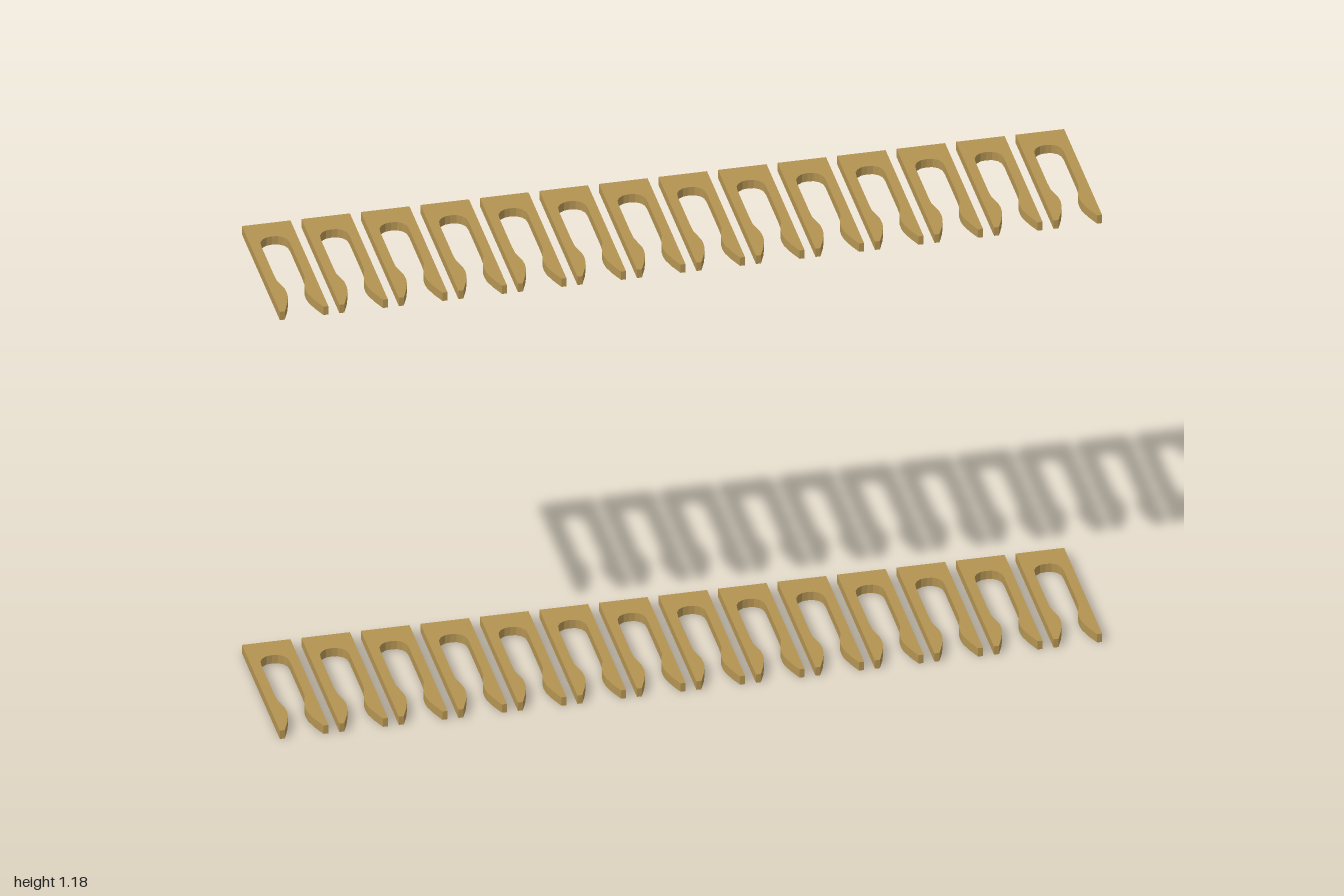
import * as THREE from 'three';

const COUNT = 14, WIDTH = 0.118, DEPTH = 0.404, THICK = 0.023, TOP = 1.183;

// Flat two-pronged clip: back bar at -z, prongs pointing to +z
function clipGeometry() {
  const w = WIDTH / 2, d = DEPTH / 2;
  // inner edge of one prong, from the tip back to the arched slot end: [x, z]
  const inner = [[0.047, d], [0.034, 0.17], [0.025, 0.14], [0.023, 0.12], [0.024, 0.1],
    [0.029, 0.08], [0.034, 0.06], [0.035, 0.03], [0.035, -0.1],
    [0.033, -0.118], [0.026, -0.13], [0.014, -0.138], [0, -0.14]];
  const mirrored = inner.slice(0, -1).reverse().map(([x, z]) => [-x, z]);
  const outline = [[-w, d], [-w, -d], [w, -d], [w, d], ...inner, ...mirrored];
  const shape = new THREE.Shape(outline.map(([x, z]) => new THREE.Vector2(x, -z)));
  const geo = new THREE.ExtrudeGeometry(shape, { depth: THICK, bevelEnabled: false });
  geo.rotateX(-Math.PI / 2); // shape plane becomes the floor, extruded upward
  return geo;
}

export function createModel() {
  const model = new THREE.Group();
  model.name = 'clipRows';
  const brass = new THREE.MeshStandardMaterial({ color: 0xb39352 });
  const geo = clipGeometry();
  const pitch = (2 - WIDTH) / (COUNT - 1);

  // Two identical rows, one above the other
  for (const [name, y] of [['lowerRow', 0], ['upperRow', TOP - THICK]]) {
    const row = new THREE.Group();
    row.name = name;
    row.position.y = y;
    for (let i = 0; i < COUNT; i++) {
      const clip = new THREE.Mesh(geo, brass);
      clip.name = 'forkedClip' + (i + 1);
      clip.position.x = (i - (COUNT - 1) / 2) * pitch;
      row.add(clip);
    }
    model.add(row);
  }
  return model;
}
